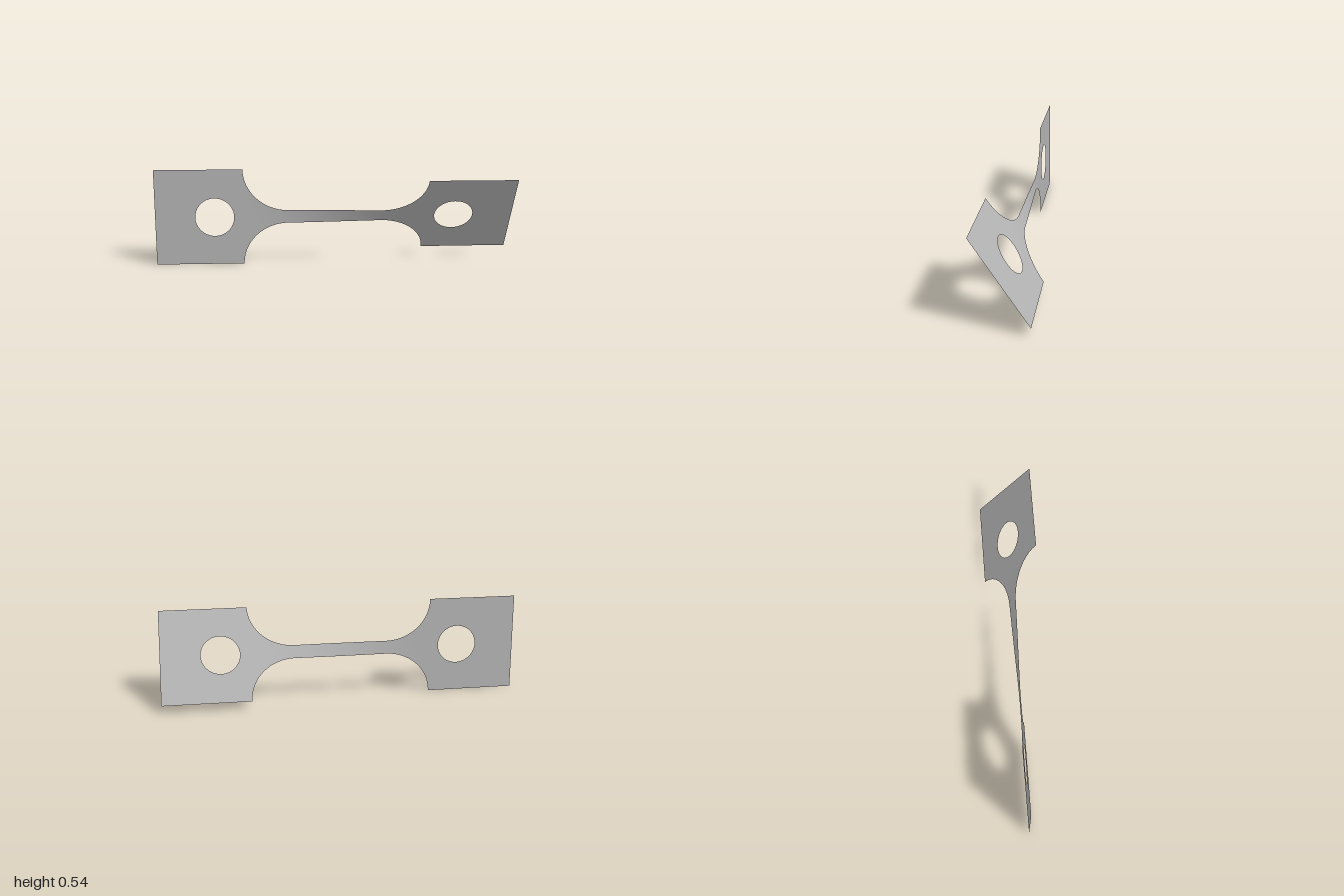
import * as THREE from 'three';
import { mergeVertices } from 'three/addons/utils/BufferGeometryUtils.js';

const HALF = 0.271;   // half height of the heads
const NECK = 0.037;   // half height of the neck
const HOLE_X = 0.67, HOLE_R = 0.108;
const FILLET_X = 0.51, FILLET_W = 0.25;
const ROWS = 8;

// outer edge: square head, quarter-ellipse fillet, straight neck
function outer(x) {
  const u = (Math.abs(x) - (FILLET_X - FILLET_W)) / FILLET_W;
  if (u <= 0) return NECK;
  if (u >= 1) return HALF;
  return HALF - (HALF - NECK) * Math.sqrt(1 - u * u);
}

// half height of the round hole at x
function inner(x) {
  const d = Math.abs(x) - HOLE_X;
  return Math.sqrt(Math.max(0, HOLE_R * HOLE_R - d * d));
}

// twist angle along the strip, nearly all of it in the neck
function twist(x) {
  const s = THREE.MathUtils.smoothstep(x, -0.5, 0.5);
  return THREE.MathUtils.degToRad(0.4 + 32.5 * s + 0.4 * (x + 1));
}

// stations along x, closer together around the curves
function stations() {
  const half = [];
  const span = (a, b, n, ease) => {
    for (let i = 0; i < n; i++) half.push(a + (b - a) * ease(i / n));
  };
  const even = t => t;
  const hole = t => (1 - Math.cos(Math.PI * t)) / 2;
  const fillet = t => 1 - Math.cos(Math.PI * t / 2);
  span(-1, -HOLE_X - HOLE_R, 6, even);
  span(-HOLE_X - HOLE_R, -HOLE_X + HOLE_R, 32, hole);
  span(-HOLE_X + HOLE_R, -FILLET_X, 3, even);
  span(-FILLET_X, -FILLET_X + FILLET_W, 28, fillet);
  span(-FILLET_X + FILLET_W, 0, 14, even);
  return [...half, 0, ...half.map(x => -x).reverse()];
}

function sheetGeometry() {
  const xs = stations(), pos = [], index = [];
  for (const side of [-1, 1]) {
    const base = pos.length / 3;
    xs.forEach((x, i) => {
      const a = twist(x), lo = inner(x), hi = outer(x);
      for (let j = 0; j <= ROWS; j++) {
        const t = j / ROWS;
        const v = side < 0 ? -hi + (hi - lo) * t : lo + (hi - lo) * t;
        pos.push(x, HALF + v * Math.cos(a), v * Math.sin(a));
        if (i && j) {
          const d = base + i * (ROWS + 1) + j, c = d - 1;
          const b = d - ROWS - 1, e = b - 1;
          index.push(e, c, d, e, d, b);
        }
      }
    });
  }
  const g = new THREE.BufferGeometry();
  g.setAttribute('position', new THREE.Float32BufferAttribute(pos, 3));
  g.setIndex(index);
  const merged = mergeVertices(g, 1e-5);
  merged.computeVertexNormals();
  return merged;
}

export function createModel() {
  const group = new THREE.Group();
  group.name = 'twistedTestStrip';
  const steel = new THREE.MeshStandardMaterial({ color: 0xb4b4b4, side: THREE.DoubleSide });
  steel.name = 'plain grey';
  const sheet = new THREE.Mesh(sheetGeometry(), steel);
  sheet.name = 'twistedSheet';
  group.add(sheet);
  return group;
}
